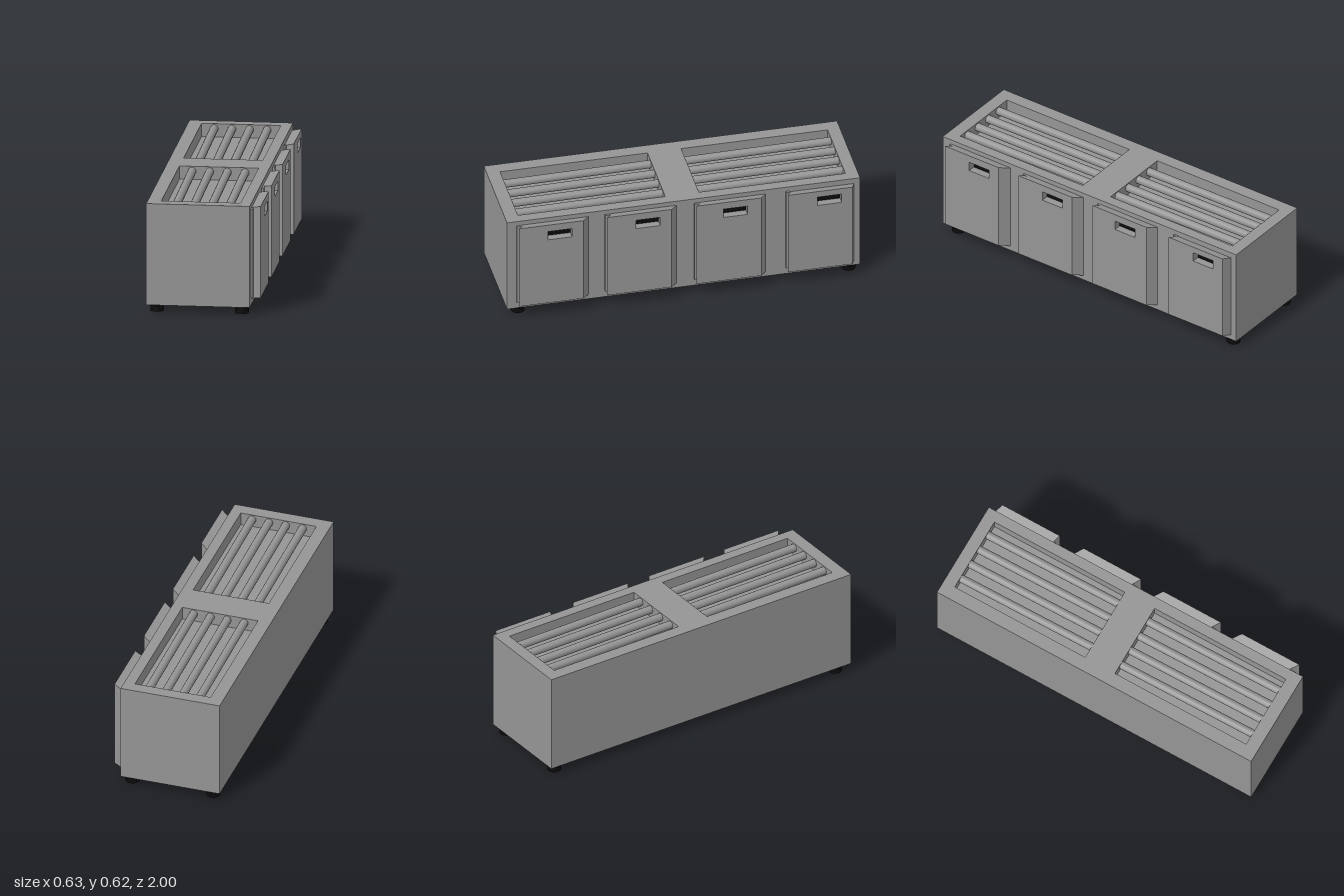
import * as THREE from 'three';

export function createModel() {
  const model = new THREE.Group();
  const grey = new THREE.MeshStandardMaterial({ color: 0x959595 });
  grey.name = 'grey';
  const black = new THREE.MeshStandardMaterial({ color: 0x0c0c0c });
  black.name = 'black';

  const add = (name, geometry, material, x = 0, y = 0, z = 0) => {
    const mesh = new THREE.Mesh(geometry, material);
    mesh.name = name;
    mesh.position.set(x, y, z);
    model.add(mesh);
    return mesh;
  };
  const rect = (Type, x0, x1, y0, y1) => {
    const path = new Type();
    path.moveTo(x0, y0);
    path.lineTo(x1, y0);
    path.lineTo(x1, y1);
    path.lineTo(x0, y1);
    path.closePath();
    return path;
  };

  // Cabinet: solid lower block and a rim with two shallow wells
  const floorY = 0.545, topY = 0.62;
  add('cabinetBody', new THREE.BoxGeometry(0.575, floorY - 0.045, 2), grey, -0.0275, (floorY + 0.045) / 2, 0);
  const wells = [[-0.93, -0.1], [0.09, 0.925]];
  const rim = rect(THREE.Shape, -0.315, 0.26, -1, 1);
  for (const [z0, z1] of wells) rim.holes.push(rect(THREE.Path, -0.24, 0.2, -z1, -z0));
  const rimGeometry = new THREE.ExtrudeGeometry(rim, { depth: topY - floorY, bevelEnabled: false });
  rimGeometry.rotateX(-Math.PI / 2);
  add('cabinetRim', rimGeometry, grey, 0, floorY, 0);

  // Four round bars lying in each well
  for (const [z0, z1] of wells) {
    const length = z1 - z0;
    for (let i = 0; i < 4; i++) {
      const bar = new THREE.CylinderGeometry(0.023, 0.023, length, 16);
      bar.rotateX(Math.PI / 2);
      const mesh = add('bar', bar, grey, -0.165 + i * 0.098, 0.592, (z0 + z1) / 2);
      mesh.rotation.y = 0.012;
    }
  }

  // Drawers: the front face is offset from the base, so the outer sides lean
  const depth = 0.055, bottom = 0.09;
  const drawers = [
    { z0: 0.58, z1: 0.945, slant: -0.042, grip: 0.712, top: 0.608 },
    { z0: 0.08, z1: 0.445, slant: -0.04, grip: 0.213, top: 0.608 },
    { z0: -0.428, z1: -0.062, slant: -0.037, grip: -0.282, top: 0.608 },
    { z0: -0.945, z1: -0.58, slant: -0.02, grip: -0.815, top: 0.602 },
  ];
  for (const { z0, z1, slant, grip, top } of drawers) {
    const front = rect(THREE.Shape, -z1, -z0, bottom, top);
    front.holes.push(rect(THREE.Path, -grip - 0.068, -grip + 0.068, 0.51, 0.565));
    const geometry = new THREE.ExtrudeGeometry(front, { depth, bevelEnabled: false });
    geometry.rotateY(Math.PI / 2);
    const p = geometry.attributes.position;
    for (let i = 0; i < p.count; i++) {
      const outer = p.getY(i) < bottom + 0.01 || p.getY(i) > top - 0.01;
      if (outer && p.getX(i) < depth / 2) {
        p.setY(i, p.getY(i) - 0.015);
        p.setZ(i, p.getZ(i) + slant);
      }
    }
    geometry.computeVertexNormals();
    add('drawerFront', geometry, grey, 0.26, 0, 0);
    add('gripInset', new THREE.BoxGeometry(0.009, 0.055, 0.136), black, 0.267, 0.5375, grip);

    // Narrow strip behind the overhanging edge
    add('drawerEdgeStrip', new THREE.BoxGeometry(0.014, 0.505, -slant + 0.004), grey,
      0.265, 0.34, z1 + slant / 2);
  }

  // Stepped round feet
  for (const x of [-0.262, 0.209]) {
    for (const z of [-0.945, 0.928]) {
      add('foot', new THREE.CylinderGeometry(0.033, 0.033, 0.045, 24), black, x, 0.0225, z);
      add('footPad', new THREE.CylinderGeometry(0.038, 0.038, 0.03, 24), black, x, 0.015, z);
    }
  }
  return model;
}
